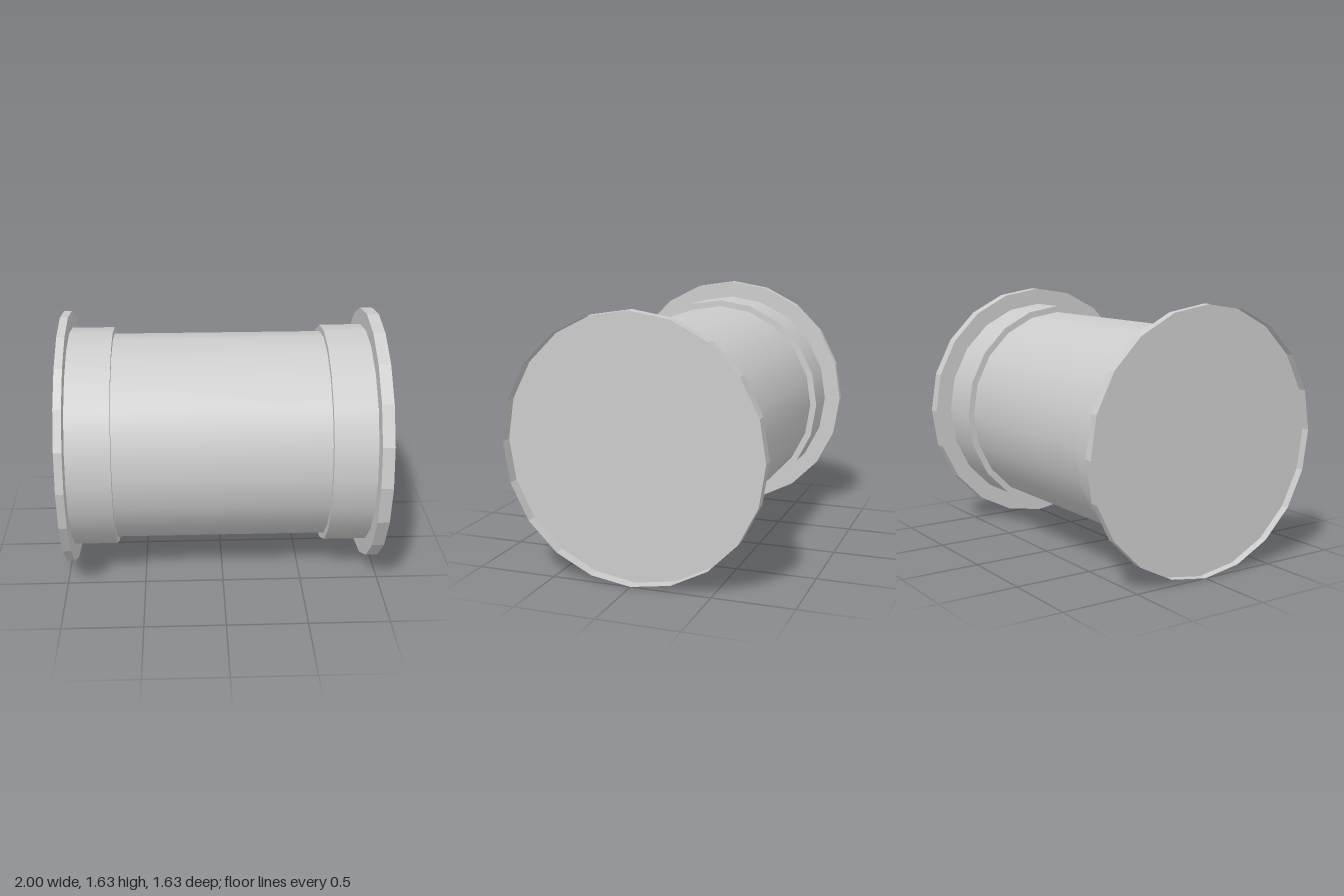
import * as THREE from 'three';

const SIDES = 20;
const AXIS_HEIGHT = 0.815;

export function createModel() {
  const group = new THREE.Group();
  group.name = 'flangedPipe';
  const smooth = new THREE.MeshStandardMaterial({ color: 0xcccccc, side: THREE.DoubleSide });
  const faceted = new THREE.MeshStandardMaterial({ color: 0xcccccc, side: THREE.DoubleSide, flatShading: true });

  function add(name, geometry, material, x) {
    const mesh = new THREE.Mesh(geometry, material);
    mesh.name = name;
    mesh.position.set(x, AXIS_HEIGHT, 0);
    group.add(mesh);
  }

  // Open tube lying along x, from x0 to x1
  function tube(name, radius, x0, x1, material) {
    const geometry = new THREE.CylinderGeometry(radius, radius, x1 - x0, SIDES, 1, true);
    add(name, geometry.rotateZ(-Math.PI / 2), material, (x0 + x1) / 2);
  }

  // Flat plate across the axis, facing +x (dir 1) or -x (dir -1)
  function plate(name, geometry, x, dir) {
    add(name, geometry.rotateY(dir * Math.PI / 2), faceted, x);
  }

  // Main pipe
  tube('barrel', 0.665, -0.677, 0.657, smooth);

  // Each end: collar, its shoulder, and a shallow open dish as flange
  const ends = [
    { side: 'right', dir: -1, shoulder: -0.677, floor: -0.95 },
    { side: 'left', dir: 1, shoulder: 0.657, floor: 0.925 },
  ];
  for (const { side, dir, shoulder, floor } of ends) {
    tube(side + 'Collar', 0.707, Math.min(shoulder, floor), Math.max(shoulder, floor), smooth);
    plate(side + 'Shoulder', new THREE.RingGeometry(0.665, 0.707, SIDES), shoulder, -dir);
    plate(side + 'FlangePlate', new THREE.CircleGeometry(0.815, SIDES), floor, dir);
    tube(side + 'FlangeRim', 0.815, Math.min(floor, dir), Math.max(floor, dir), faceted);
  }

  return group;
}
